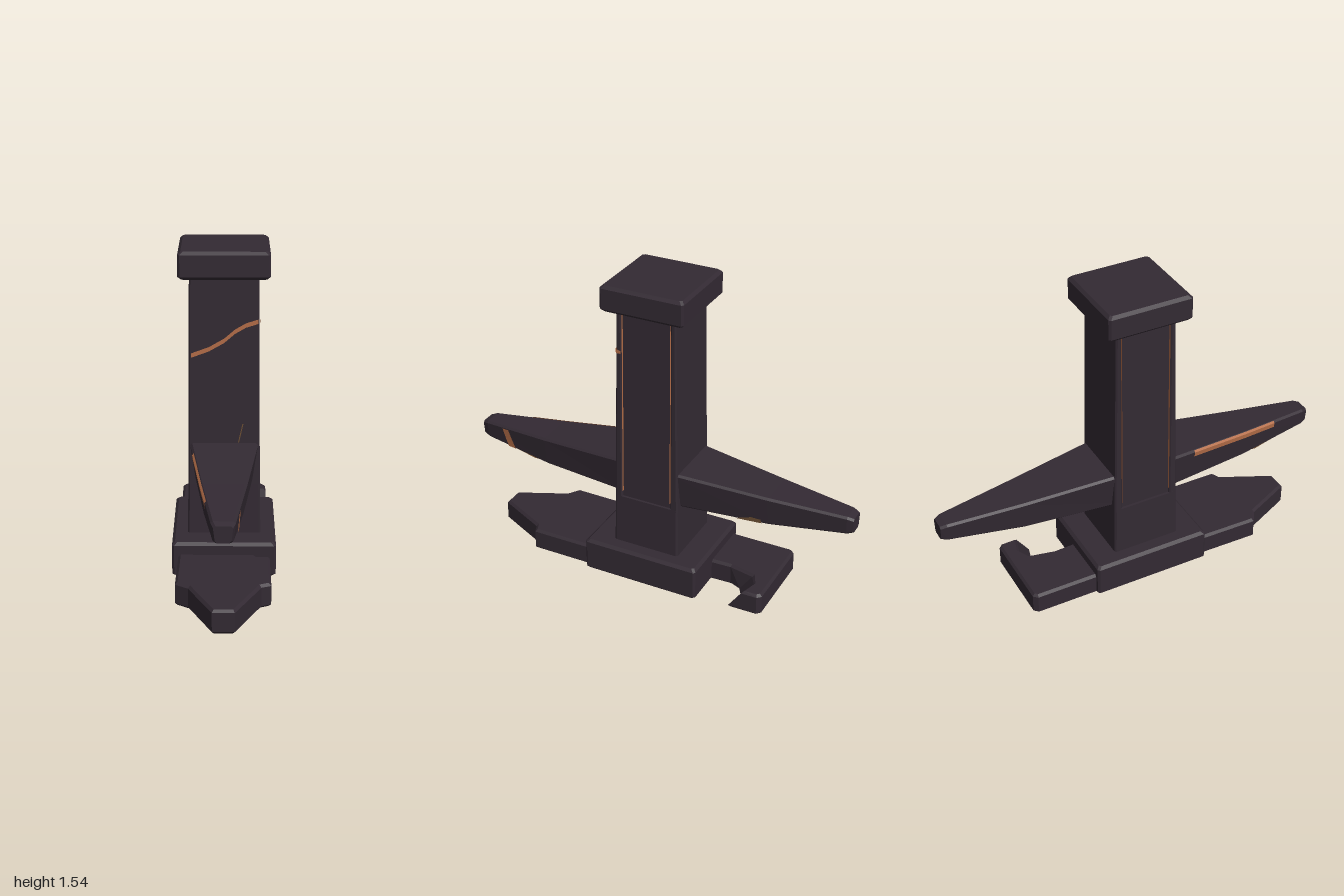
import * as THREE from 'three';

const dark = new THREE.MeshStandardMaterial({ color: 0x332a33 });
dark.name = 'dark plum stone';
dark.flatShading = true;
const copper = new THREE.MeshStandardMaterial({ color: 0xb56e48, side: THREE.DoubleSide });
copper.name = 'copper vein';
const bronze = new THREE.MeshStandardMaterial({ color: 0x6e5034, side: THREE.DoubleSide });
bronze.name = 'dull bronze vein';

function buffer(positions) {
  const g = new THREE.BufferGeometry();
  g.setAttribute('position', new THREE.Float32BufferAttribute(positions, 3));
  g.computeVertexNormals();
  return g;
}

// Loft of chamfered rectangles: sections are [t, u half-width, v0, v1], k narrows the v0 side
function loft(name, axis, sections, chamfer = 0.012, k = 1) {
  const place = axis === 'y' ? (u, v, t) => [v, t, u] : (u, v, t) => [u, v, t];
  const rings = sections.map(([t, h, v0, v1]) => {
    const c = chamfer, b = h * k;
    return [[-b + c, v0], [b - c, v0], [b, v0 + c], [h, v1 - c], [h - c, v1], [-h + c, v1], [-h, v1 - c], [-b, v0 + c]]
      .map(([u, v]) => place(u, v, t));
  });
  const out = [];
  const tri = (...points) => points.forEach((p) => out.push(...p));
  for (let i = 0; i + 1 < rings.length; i++) {
    for (let j = 0; j < 8; j++) {
      const n = (j + 1) % 8;
      tri(rings[i][j], rings[i][n], rings[i + 1][n]);
      tri(rings[i][j], rings[i + 1][n], rings[i + 1][j]);
    }
  }
  const first = rings[0], last = rings[rings.length - 1];
  for (let j = 1; j < 7; j++) {
    tri(first[0], first[j + 1], first[j]);
    tri(last[0], last[j], last[j + 1]);
  }
  const mesh = new THREE.Mesh(buffer(out), dark);
  mesh.name = name;
  return mesh;
}

// Bevelled block standing between y0 and y1
function block(name, hx, hz, y0, y1) {
  const b = 0.014;
  return loft(name, 'y', [
    [y0, hz - b, -hx + b, hx - b], [y0 + b, hz, -hx, hx],
    [y1 - b, hz, -hx, hx], [y1, hz - b, -hx + b, hx - b],
  ], 0.01);
}

// Flat vein between two matching edges
function ribbon(name, a, b, material = copper) {
  const out = [];
  for (let i = 0; i + 1 < a.length; i++) {
    out.push(...a[i], ...b[i], ...b[i + 1], ...a[i], ...b[i + 1], ...a[i + 1]);
  }
  const mesh = new THREE.Mesh(buffer(out), material);
  mesh.name = name;
  return mesh;
}

// Plinth foot from an outline of [x, z] points
function foot(name, outline) {
  const b = 0.012;
  const shape = new THREE.Shape(outline.map(([x, z]) => new THREE.Vector2(x, -z)));
  const g = new THREE.ExtrudeGeometry(shape, {
    depth: 0.115 - 2 * b, bevelThickness: b, bevelSize: b, bevelOffset: -b, bevelSegments: 1,
  });
  g.rotateX(-Math.PI / 2).translate(0, b, 0);
  const mesh = new THREE.Mesh(g, dark);
  mesh.name = name;
  return mesh;
}

const ARM = [
  [0.135, 0.163, 0.435, 0.628], [0.6, 0.104, 0.438, 0.592],
  [0.97, 0.053, 0.473, 0.57], [1, 0.042, 0.483, 0.56],
];
const ARM_K = 0.84;

// Arm size at distance z
function armAt(z) {
  const i = Math.max(0, ARM.findIndex((s) => s[0] > Math.abs(z)) - 1);
  const a = ARM[i], b = ARM[i + 1];
  const f = (Math.abs(z) - a[0]) / (b[0] - a[0]);
  return a.map((n, j) => n + (b[j] - n) * f);
}

// Point just off an arm's side face; side is +1 or -1
function onArm(side, z, y) {
  const [, h, y0, y1] = armAt(z);
  const t = THREE.MathUtils.clamp((y - y0 - 0.01) / (y1 - y0 - 0.02), 0, 1);
  return [side * (h * (ARM_K + (1 - ARM_K) * t) + 0.003), y, z];
}

export function createModel() {
  const model = new THREE.Group();
  model.name = 'stonePillar';

  // Base, cap and lower column
  model.add(block('base', 0.245, 0.3, 0, 0.173));
  model.add(block('cap', 0.21, 0.21, 1.415, 1.543));
  model.add(loft('lowerColumn', 'y', [[0.16, 0.172, -0.174, 0.174], [0.43, 0.167, -0.169, 0.169]], 0.008));

  // Upper column: recessed side panels between front and back slabs
  model.add(loft('sidePanels', 'y', [[0.42, 0.14, -0.157, 0.157], [1.43, 0.135, -0.147, 0.147]], 0.004));
  for (const s of [1, -1]) {
    const slab = loft('columnSlab', 'y', [[0.42, 0.02, -0.169, 0.169], [1.43, 0.013, -0.16, 0.16]], 0.007);
    const p = slab.geometry.attributes.position;
    for (let i = 0; i < p.count; i++) {
      const f = (p.getY(i) - 0.42) / 1.01;
      p.setZ(i, p.getZ(i) + s * (0.148 - 0.011 * f));
    }
    slab.geometry.computeVertexNormals();
    model.add(slab);
  }

  // Copper seams on the walls of the panel recesses
  for (const [sx, sz] of [[1, 1], [1, -1], [-1, 1], [-1, -1]]) {
    const z0 = sz * 0.1265, z1 = sz * 0.1225;
    model.add(ribbon('panelSeam',
      [[sx * 0.15, 0.46, z0], [sx * 0.143, 1.41, z1]],
      [[sx * 0.168, 0.46, z0], [sx * 0.158, 1.41, z1]]));
  }

  // Tapered arms
  for (const [name, turn] of [['frontArm', 0], ['backArm', Math.PI]]) {
    const arm = loft(name, 'z', ARM, 0.01, ARM_K);
    arm.rotation.y = turn;
    model.add(arm);
  }

  // Front foot
  model.add(foot('frontFoot', [
    [-0.215, 0.27], [-0.22, 0.6], [-0.16, 0.64], [-0.05, 0.88], [0.05, 0.88],
    [0.17, 0.63], [0.215, 0.61], [0.215, 0.31], [0.15, 0.31], [0.15, 0.27],
  ]));

  // Back foot with a hooked notch, the hook's inner lip sloping down
  const backFoot = foot('backFoot', [
    [-0.22, -0.27], [0.05, -0.27], [0.045, -0.4], [0.07, -0.46], [0.12, -0.49],
    [0.215, -0.465], [0.215, -0.61], [0.195, -0.63], [-0.2, -0.63], [-0.22, -0.61],
  ]);
  const lip = backFoot.geometry.attributes.position;
  for (let i = 0; i < lip.count; i++) {
    const z = lip.getZ(i);
    if (lip.getX(i) > 0.05 && z > -0.52 && z < -0.42 && lip.getY(i) > 0.06) lip.setZ(i, z - 0.065);
  }
  model.add(backFoot);

  // Vein across the front of the column, wrapping its left corner
  const vein = [[-0.152, 1.05], [-0.07, 1.08], [0, 1.12], [0.05, 1.163], [0.1, 1.192], [0.157, 1.21]];
  const frontZ = (y) => 0.168 - 0.018 * (y - 0.42) / 1.01 + 0.003;
  const edge = (d) => vein.map(([x, y]) => [x, y + d, frontZ(y)]);
  model.add(ribbon('frontVein', edge(-0.01), edge(0.011)));
  model.add(ribbon('cornerVein',
    [[0.165, 1.2, 0.15], [0.165, 1.2, 0.128]], [[0.165, 1.22, 0.15], [0.165, 1.215, 0.128]]));
  model.add(ribbon('smallVein',
    [[0.065, 0.63, 0.169], [0.085, 0.72, 0.168]], [[0.07, 0.63, 0.169], [0.09, 0.72, 0.168]], bronze));

  // Band on the front arm
  model.add(ribbon('armBand',
    [[0.868, 0.563], [0.855, 0.51], [0.84, 0.465]].map(([z, y]) => onArm(1, z, y)),
    [[0.832, 0.565], [0.815, 0.51], [0.795, 0.463]].map(([z, y]) => onArm(1, z, y))));

  // Vein along the front arm's upper edge, folding over its chamfer
  const run = [0.28, 0.45, 0.6, 0.78];
  const shoulder = run.map((z) => onArm(-1, z, armAt(z)[3] - 0.009));
  model.add(ribbon('armEdgeVein', shoulder, run.map((z) => onArm(-1, z, armAt(z)[3] - 0.034))));
  model.add(ribbon('armChamferVein', shoulder, shoulder.map(([x, y, z]) => [x + 0.008, y + 0.009, z])));

  // Dull patches under the arms
  model.add(ribbon('backArmVein',
    [-0.45, -0.52, -0.57].map((z) => onArm(1, z, 0.442)),
    [[-0.46, 0.448], [-0.52, 0.466], [-0.565, 0.462]].map(([z, y]) => onArm(1, z, y)), bronze));
  const under = [[0.62, 0.06], [0.68, 0.072], [0.76, 0.058], [0.84, 0.046]];
  const underEdge = (s) => under.map(([z, x]) => [s * x, armAt(z)[2] - 0.003, z]);
  model.add(ribbon('armUndersideVein', underEdge(-1), underEdge(1), bronze));

  return model;
}
